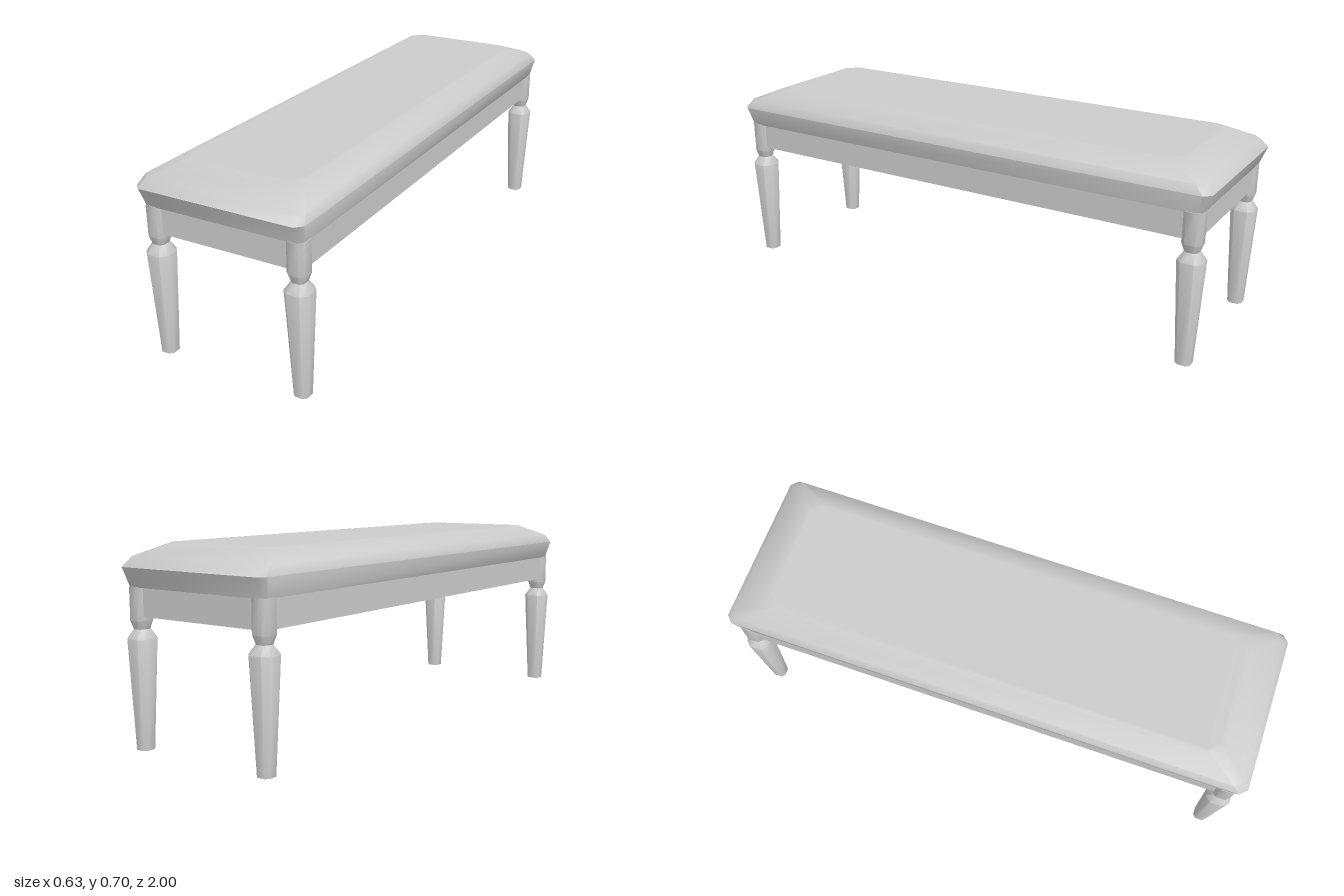
import * as THREE from 'three';
import { toCreasedNormals } from 'three/addons/utils/BufferGeometryUtils.js';

const material = new THREE.MeshStandardMaterial({ color: 0xcccccc });

// Lofts rectangles with cut corners; each ring is [y, halfX, halfZ, cornerCut], bottom to top.
function loft(rings, crease) {
  const pos = [], index = [], n = 8;
  for (const [y, hx, hz, c] of rings) {
    const corners = [
      [hx, hz - c], [hx - c, hz], [c - hx, hz], [-hx, hz - c],
      [-hx, c - hz], [c - hx, -hz], [hx - c, -hz], [hx, c - hz],
    ];
    for (const [x, z] of corners) pos.push(x, y, z);
  }
  for (let r = 0; r < rings.length - 1; r++) {
    for (let i = 0; i < n; i++) {
      const a = r * n + i, b = r * n + (i + 1) % n;
      index.push(a, a + n, b, b, a + n, b + n);
    }
  }
  // end caps
  const top = (rings.length - 1) * n;
  for (let i = 1; i < n - 1; i++) {
    index.push(0, i, i + 1);
    index.push(top, top + i + 1, top + i);
  }
  const geometry = new THREE.BufferGeometry();
  geometry.setAttribute('position', new THREE.Float32BufferAttribute(pos, 3));
  geometry.setIndex(index);
  return toCreasedNormals(geometry, crease);
}

function addMesh(parent, name, geometry, x = 0, y = 0, z = 0) {
  const mesh = new THREE.Mesh(geometry, material);
  mesh.name = name;
  mesh.position.set(x, y, z);
  parent.add(mesh);
}

export function createModel() {
  const bench = new THREE.Group();
  bench.name = 'bench';

  // padded seat: tucked-in base, bulging side, sloped shoulder, flat top
  addMesh(bench, 'cushion', loft([
    [0.557, 0.302, 0.972, 0.015],
    [0.625, 0.317, 1.0, 0.025],
    [0.657, 0.304, 0.975, 0.03],
    [0.702, 0.232, 0.868, 0.04],
    [0.702, 0.215, 0.85, 0.035],
  ], 0.82));

  // apron rails, set slightly behind the faces of the leg posts
  const railY = 0.509, railH = 0.1, thick = 0.035;
  for (const s of [1, -1]) {
    const side = s > 0 ? 'left' : 'right', end = s > 0 ? 'front' : 'back';
    addMesh(bench, side + 'Rail', new THREE.BoxGeometry(thick, railH, 1.88), s * 0.274, railY, 0);
    addMesh(bench, end + 'Rail', new THREE.BoxGeometry(0.54, railH, thick), 0, railY, s * 0.943);
  }

  // legs: tapered shaft, pinched neck, straight post
  const profile = [
    [0, 0.027], [0.383, 0.0445], [0.415, 0.024], [0.445, 0.034], [0.559, 0.034],
  ];
  const legGeometry = loft(profile.map(([y, h]) => [y, h, h, h * 0.45]), 0.82);
  for (const x of [0.271, -0.271]) {
    for (const z of [0.94, -0.94]) {
      const name = (z > 0 ? 'front' : 'back') + (x > 0 ? 'Left' : 'Right') + 'Leg';
      addMesh(bench, name, legGeometry, x, 0, z);
    }
  }
  return bench;
}
